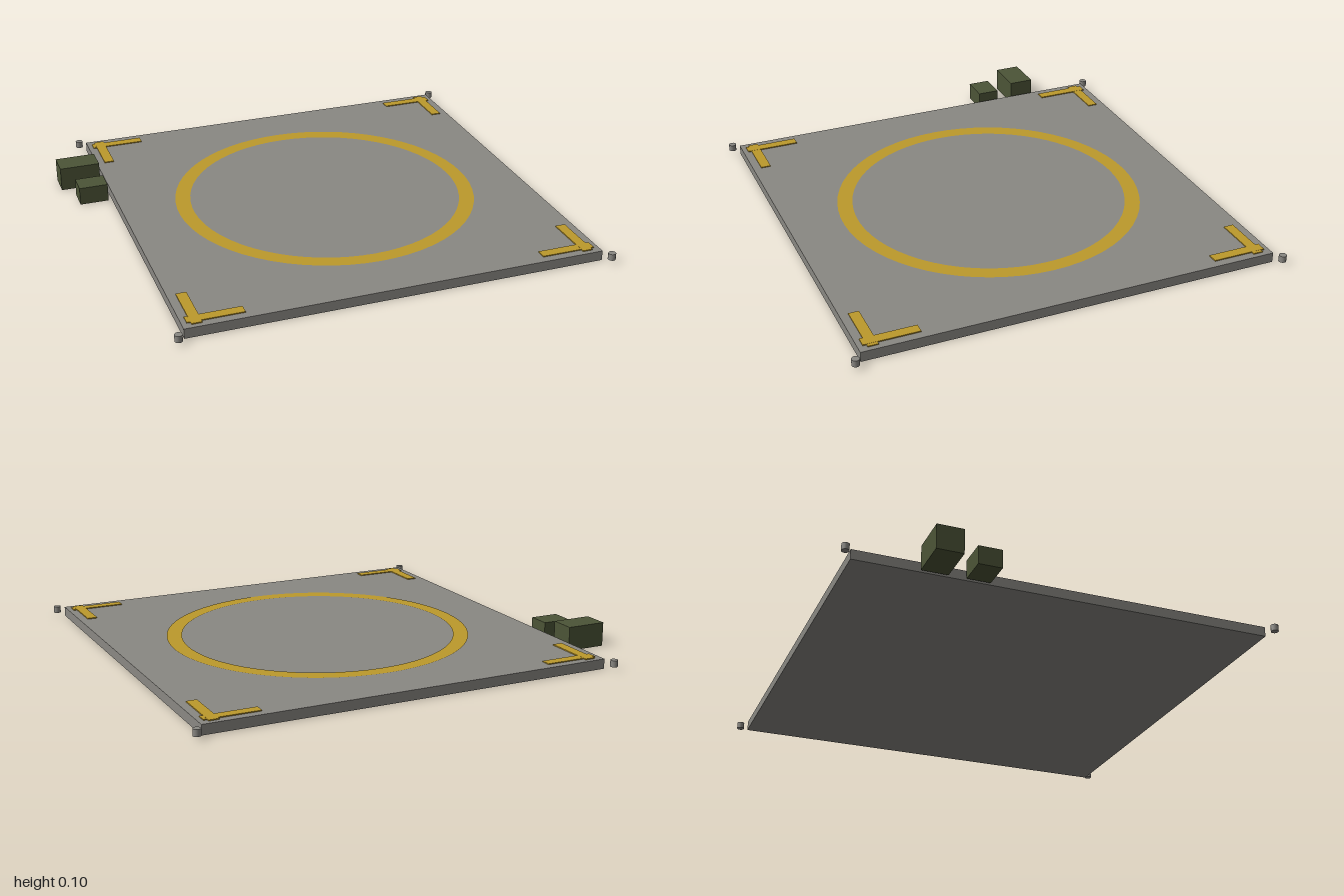
import * as THREE from 'three';

const CX = 0.07;      // pad centre in x
const TOP = 0.042;    // pad top height

const material = (name, color) => {
  const m = new THREE.MeshStandardMaterial({ color });
  m.name = name;
  return m;
};

export function createModel() {
  const concrete = material('concrete grey', 0x8a8883);
  const paint = material('marking yellow', 0xbd9a2b);
  const olive = material('olive green', 0x4c5437);

  const model = new THREE.Group();
  model.name = 'landingPad';

  const add = (name, geometry, mat, x, y, z) => {
    const mesh = new THREE.Mesh(geometry, mat);
    mesh.name = name;
    mesh.position.set(x, y, z);
    model.add(mesh);
    return mesh;
  };
  const box = (name, mat, w, h, d, x, y, z) =>
    add(name, new THREE.BoxGeometry(w, h, d), mat, x, y + h / 2, z);

  // Square slab
  box('slab', concrete, 1.76, TOP, 1.76, CX, 0, 0);

  // Painted landing circle
  const ring = new THREE.RingGeometry(0.59, 0.655, 64).rotateX(-Math.PI / 2);
  add('landingCircle', ring, paint, CX, TOP + 0.002, 0);

  // Corner brackets and edge lamps, mirrored to all four corners
  for (const sx of [-1, 1]) {
    for (const sz of [-1, 1]) {
      box('cornerMarkAcross', paint, 0.23, 0.004, 0.043, CX + sx * 0.744, TOP, sz * 0.823);
      box('cornerMarkAlong', paint, 0.043, 0.0045, 0.23, CX + sx * 0.823, TOP, sz * 0.744);
      add('edgeLamp', new THREE.CylinderGeometry(0.016, 0.016, 0.028, 12), concrete,
        CX + sx * 0.908, 0.028, sz * 0.908);
    }
  }

  // Supply crates beside the pad
  box('largeCrate', olive, 0.175, 0.104, 0.11, -0.9125, 0, -0.557);
  box('smallCrate', olive, 0.125, 0.078, 0.098, -0.8875, 0, -0.381);

  return model;
}
